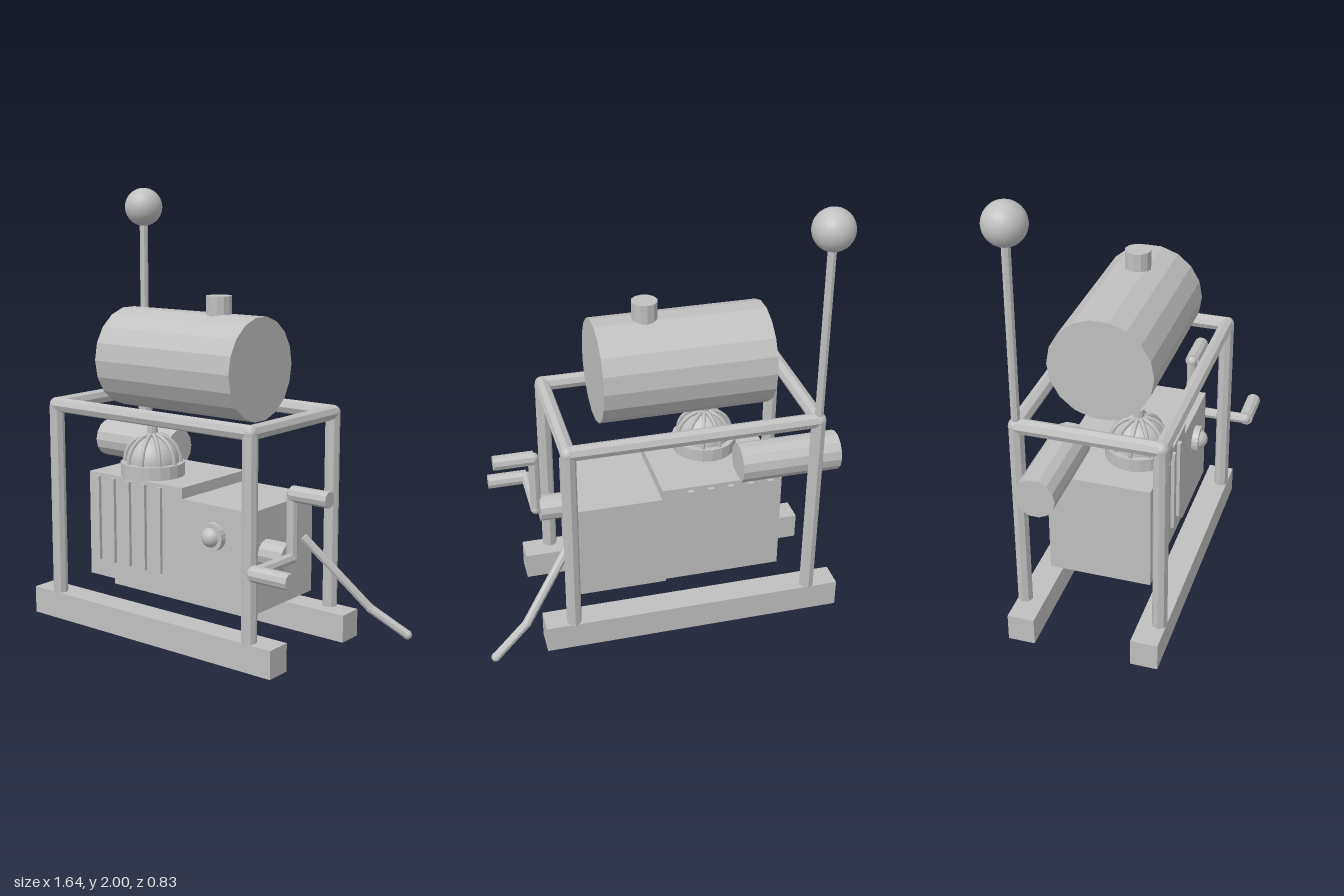
import * as THREE from 'three';

export function createModel() {
  const model = new THREE.Group();
  model.name = 'portableEngine';
  const grey = new THREE.MeshStandardMaterial({ color: 0xc0c0c0 });
  grey.name = 'plain grey';
  // same grey, split into facets by geometry rather than a second material
  const faceted = (g) => {
    const f = g.index ? g.toNonIndexed() : g;
    f.computeVertexNormals();
    return f;
  };
  const add = (name, geo, parent = model) => {
    const mesh = new THREE.Mesh(geo, grey);
    mesh.name = name;
    parent.add(mesh);
    return mesh;
  };
  const group = (name) => {
    const g = new THREE.Group();
    g.name = name;
    model.add(g);
    return g;
  };
  // box given by its min and max corners
  const box = (name, a, b, parent) => {
    const m = add(name, new THREE.BoxGeometry(b[0] - a[0], b[1] - a[1], b[2] - a[2]), parent);
    m.position.set((a[0] + b[0]) / 2, (a[1] + b[1]) / 2, (a[2] + b[2]) / 2);
    return m;
  };
  // faceted cylinder between two points
  const rod = (name, a, b, r, parent, sides = 8) => {
    const A = new THREE.Vector3(...a), B = new THREE.Vector3(...b);
    const dir = B.clone().sub(A);
    const m = add(name, faceted(new THREE.CylinderGeometry(r, r, dir.length(), sides)), parent);
    m.position.copy(A).add(B).multiplyScalar(0.5);
    m.quaternion.setFromUnitVectors(new THREE.Vector3(0, 1, 0), dir.normalize());
    return m;
  };
  const ball = (name, p, r, parent, w = 12, h = 8) => {
    const m = add(name, new THREE.SphereGeometry(r, w, h), parent);
    m.position.set(...p);
    return m;
  };

  // skids
  box('frontSkid', [-0.82, 0, 0.2], [0.56, 0.126, 0.32]);
  box('backSkid', [-0.82, 0, -0.355], [0.56, 0.126, -0.235]);

  // tubular frame
  const frame = group('frame');
  const xs = [-0.68, 0.43], zs = [0.29, -0.325], top = 1.02, r = 0.034;
  for (const x of xs) {
    for (const z of zs) {
      rod('framePost', [x, 0.12, z], [x, top, z], r, frame);
      ball('frameCorner', [x, top, z], r, frame);
    }
    rod('frameSideRail', [x, top, zs[0]], [x, top, zs[1]], r, frame);
  }
  for (const z of zs) rod('frameLongRail', [xs[0], top, z], [xs[1], top, z], r, frame);

  // mast with ball
  rod('mast', [-0.68, top, -0.325], [-0.68, 1.9, -0.325], 0.02);
  ball('mastBall', [-0.68, 1.909, -0.325], 0.091, model, 32, 20);

  // fuel tank
  rod('tank', [-0.51, 1.23, -0.02], [0.255, 1.23, -0.02], 0.23, model, 18);
  rod('tankCap', [0.025, 1.42, -0.02], [0.025, 1.537, -0.02], 0.058, model, 12);

  // engine block with cooling fins on both sides
  const engine = group('engine');
  box('cylinderBlock', [-0.555, 0.22, -0.25], [0, 0.71, 0.21], engine);
  box('crankcase', [-0.02, 0.205, -0.245], [0.38, 0.66, 0.21], engine);
  for (let i = 0; i < 5; i++) {
    const x = -0.498 + i * 0.0925;
    box('frontFin', [x - 0.014, 0.3, 0.2], [x + 0.014, 0.695, 0.226], engine);
    box('backFin', [x - 0.014, 0.3, -0.266], [x + 0.014, 0.695, -0.24], engine);
  }

  // round button on the front
  rod('buttonRing', [0.18, 0.525, 0.2], [0.18, 0.525, 0.24], 0.063, engine, 20);
  ball('button', [0.18, 0.525, 0.228], 0.045, engine, 20, 14);

  // caged dome on top of the block
  const dome = group('dome');
  dome.position.set(-0.283, 0.77, 0.077);
  rod('domeCollar', [0, -0.065, 0], [0, 0, 0], 0.148, dome, 20);
  add('domeShell', new THREE.SphereGeometry(0.122, 24, 10, 0, Math.PI * 2, 0, Math.PI / 2), dome);
  for (let i = 0; i < 5; i++) {
    const hoop = add('domeRib', new THREE.TorusGeometry(0.128, 0.01, 6, 20, Math.PI), dome);
    hoop.rotation.y = (i * Math.PI) / 5;
  }
  rod('domeKnob', [0, 0.11, 0], [0, 0.17, 0], 0.024, dome, 10);

  // muffler
  rod('muffler', [-0.82, 0.775, -0.205], [-0.36, 0.775, -0.205], 0.09, model, 14);

  // starting crank: hub, two arms, two handles
  const crank = group('crank');
  const hub = [0.515, 0.465, 0.105];
  rod('crankHub', [0.37, 0.465, 0.105], [0.5, 0.465, 0.105], 0.06, crank, 12);
  ball('crankElbow', hub, 0.026, crank);
  for (const end of [[0.515, 0.745, 0.105], [0.515, 0.465, 0.382]]) {
    rod('crankArm', hub, end, 0.025, crank);
    ball('crankElbow', end, 0.026, crank);
    rod('crankHandle', end, [0.7, end[1], end[2]], 0.035, crank, 10);
  }

  // bent kick lever
  const lever = group('kickLever');
  const bend = [[0.39, 0.475, -0.165], [0.645, 0.155, -0.325], [0.8, 0.048, -0.39]];
  for (let i = 0; i < 2; i++) {
    rod('leverArm', bend[i], bend[i + 1], 0.02, lever);
    ball('leverJoint', bend[i + 1], 0.021, lever);
  }
  return model;
}
